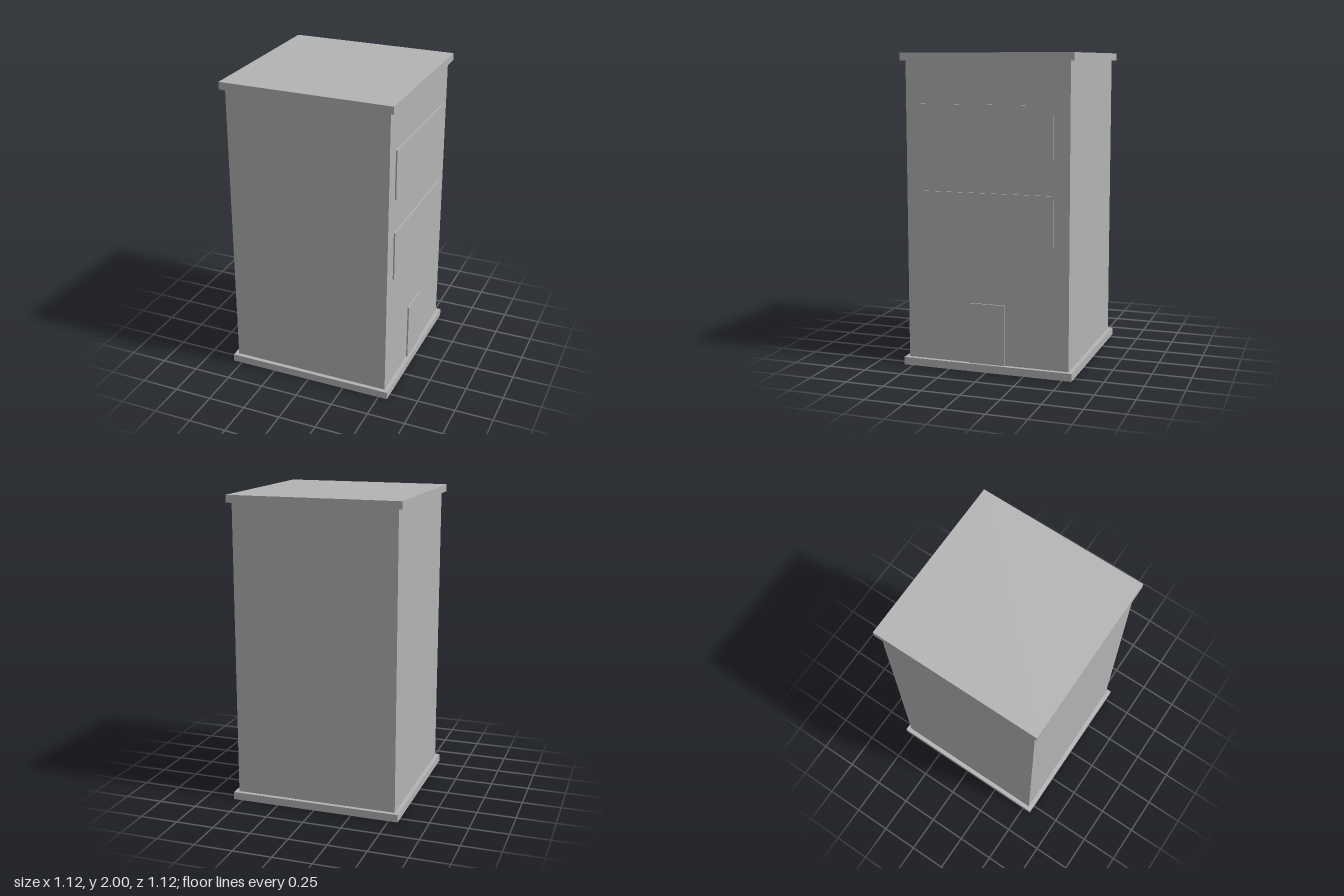
import * as THREE from 'three';

export function createModel() {
  const building = new THREE.Group();
  building.name = 'building';
  const grey = new THREE.MeshStandardMaterial({ color: 0xb3b3b3 });
  grey.name = 'concrete grey';

  const SLAB = 0.56, WALL = 0.533, BASE_TOP = 0.05, ROOF_BOTTOM = 1.952;

  // Box given by its extents on each axis
  function box(name, x0, x1, y0, y1, halfZ) {
    const mesh = new THREE.Mesh(new THREE.BoxGeometry(x1 - x0, y1 - y0, 2 * halfZ), grey);
    mesh.position.set((x0 + x1) / 2, (y0 + y1) / 2, 0);
    mesh.name = name;
    building.add(mesh);
  }

  // Main body between two overhanging slabs
  box('baseSlab', -SLAB, SLAB, 0, BASE_TOP, SLAB);
  box('walls', -WALL, WALL, BASE_TOP, ROOF_BOTTOM, WALL);
  box('roofSlab', -SLAB, SLAB, ROOF_BOTTOM, 2, SLAB);

  // Thin raised panels on the +x facade
  const panels = [
    ['door', BASE_TOP, 0.438, 0.12],
    ['lowerWindow', 0.82, 1.14, 0.432],
    ['upperWindow', 1.365, 1.685, 0.432],
  ];
  for (const [name, y0, y1, halfZ] of panels) box(name, WALL, WALL + 0.0095, y0, y1, halfZ);

  return building;
}
